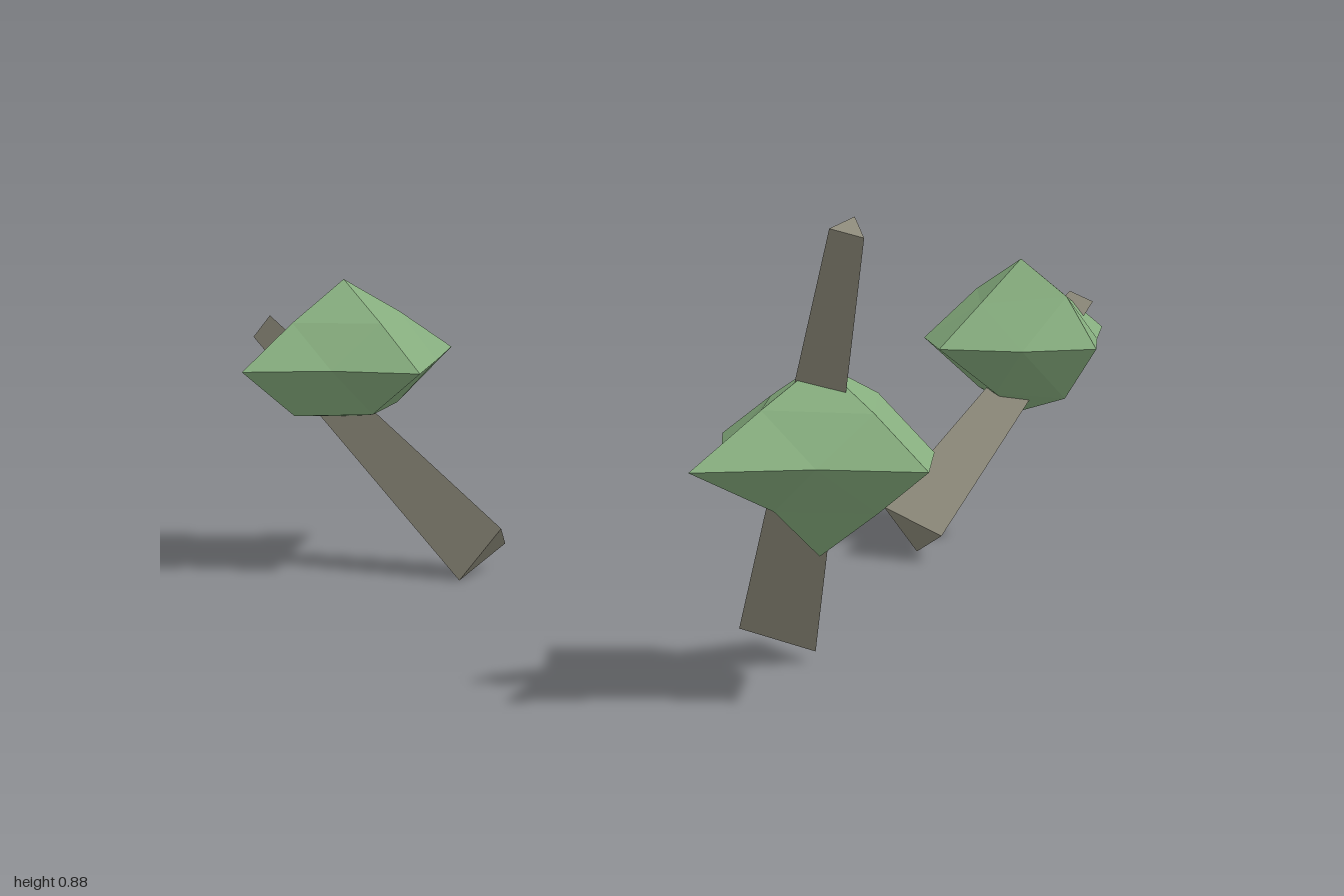
import * as THREE from 'three';

const bark = new THREE.MeshStandardMaterial({ color: 0x8f8c7c, flatShading: true });
const leaf = new THREE.MeshStandardMaterial({ color: 0x86ad7e, flatShading: true });

function facetedMesh(name, points, faces, material) {
  let geometry = new THREE.BufferGeometry();
  geometry.setAttribute('position', new THREE.Float32BufferAttribute(points.flat(), 3));
  geometry.setIndex(faces.flat());
  geometry = geometry.toNonIndexed();
  geometry.computeVertexNormals();
  const mesh = new THREE.Mesh(geometry, material);
  mesh.name = name;
  return mesh;
}

// Leaning three-sided trunk: base triangle (counter-clockwise from above) shrinking to a small tip
function makeTrunk(base, tip, taper = 0.41) {
  const centre = [0, 1, 2].map(k => (base[0][k] + base[1][k] + base[2][k]) / 3);
  const top = base.map(p => p.map((v, k) => tip[k] + (v - centre[k]) * taper));
  const faces = [[2, 1, 0], [3, 4, 5]];
  for (let i = 0; i < 3; i++) {
    const j = (i + 1) % 3;
    faces.push([i, j, j + 3], [i, j + 3, i + 3]);
  }
  return facetedMesh('trunk', [...base, ...top], faces, bark);
}

// Jagged canopy: a once-subdivided octahedron.
// rim: 8 radii from +x round through -z; upper and lower: 4 [radius, height] pairs
function makeCanopy({ centre, top, bottom, rim, upper, lower }) {
  const [cx, cy, cz] = centre;
  const at = (angle, r, y) => [cx + r * Math.cos(angle), y, cz - r * Math.sin(angle)];
  const points = rim.map((r, i) => at(i * Math.PI / 4, r, cy));
  upper.forEach(([r, y], i) => points.push(at(i * Math.PI / 2, r, y)));
  lower.forEach(([r, y], i) => points.push(at(i * Math.PI / 2, r, y)));
  points.push([cx, top, cz], [cx, bottom, cz]);
  const faces = [];
  for (let i = 0; i < 4; i++) {
    const j = (i + 1) % 4;
    const a = 2 * i, mid = a + 1, b = 2 * j;
    for (const [ring, apex] of [[8, 16], [12, 17]]) {
      const u = ring + i, v = ring + j;
      const patch = [[apex, u, v], [u, a, mid], [v, mid, b], [u, mid, v]];
      faces.push(...(ring === 8 ? patch : patch.map(f => f.reverse())));
    }
  }
  return facetedMesh('canopy', points, faces, leaf);
}

const trees = [
  {
    name: 'backTree',
    base: [[-0.52, 0.005, -0.485], [-0.47, 0.12, -0.405], [-0.38, 0.06, -0.51]],
    tip: [-0.705, 0.515, -0.903],
    canopy: {
      centre: [-0.615, 0.45, -0.743], top: 0.62, bottom: 0.33,
      rim: [0.275, 0.165, 0.257, 0.175, 0.255, 0.158, 0.264, 0.192],
      upper: [[0.14, 0.54], [0.13, 0.54], [0.13, 0.54], [0.13, 0.54]],
      lower: [[0.13, 0.345], [0.095, 0.345], [0.13, 0.345], [0.095, 0.345]],
    },
  },
  {
    name: 'frontTree',
    base: [[-0.45, 0.025, 0.53], [-0.39, 0.1, 0.41], [-0.53, 0.06, 0.405]],
    tip: [-0.72, 0.872, 0.905],
    canopy: {
      centre: [-0.616, 0.45, 0.72], top: 0.61, bottom: 0.26,
      rim: [0.196, 0.2, 0.262, 0.175, 0.307, 0.177, 0.275, 0.203],
      upper: [[0.143, 0.54], [0.13, 0.535], [0.14, 0.54], [0.14, 0.535]],
      lower: [[0.133, 0.36], [0.13, 0.36], [0.11, 0.356], [0.15, 0.36]],
    },
  },
  {
    name: 'sideTree',
    base: [[0.335, 0.065, 0.075], [0.385, 0.005, -0.05], [0.29, 0.115, -0.055]],
    tip: [0.85, 0.515, -0.005],
    canopy: {
      centre: [0.654, 0.45, -0.005], top: 0.625, bottom: 0.288,
      rim: [0.265, 0.185, 0.212, 0.21, 0.25, 0.207, 0.225, 0.168],
      upper: [[0.135, 0.537], [0.133, 0.548], [0.125, 0.537], [0.137, 0.555]],
      lower: [[0.09, 0.35], [0.125, 0.327], [0.075, 0.335], [0.135, 0.332]],
    },
  },
];

export function createModel() {
  const model = new THREE.Group();
  model.name = 'leaningTrees';
  for (const { name, base, tip, canopy } of trees) {
    const tree = new THREE.Group();
    tree.name = name;
    tree.add(makeTrunk(base, tip), makeCanopy(canopy));
    model.add(tree);
  }
  return model;
}
